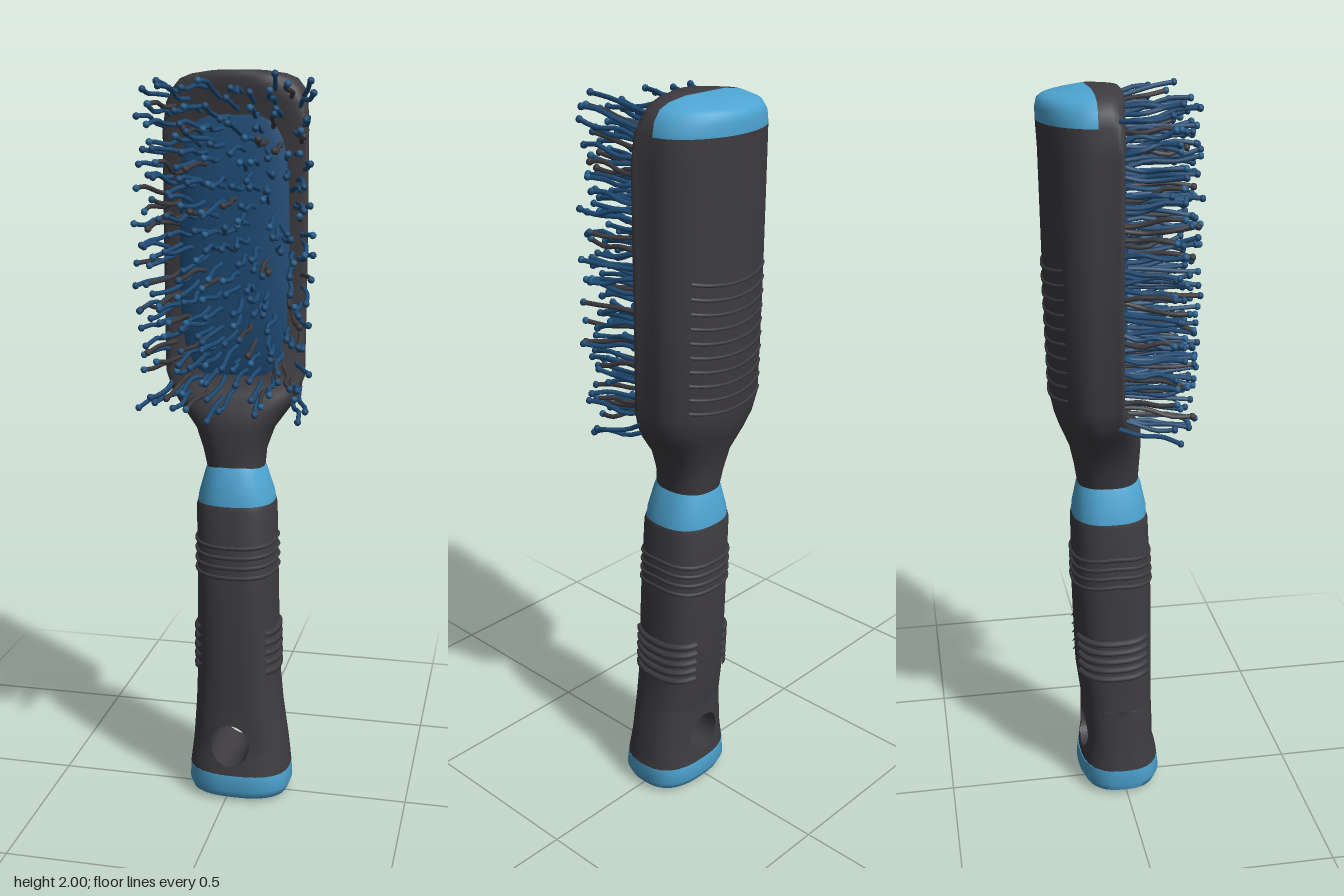
import * as THREE from 'three';
import { mergeGeometries, toCreasedNormals } from 'three/addons/utils/BufferGeometryUtils.js';

const flat = (name, color) => Object.assign(new THREE.MeshStandardMaterial({ color }), { name });
const SIDES = 48;

// One point of a cross-section: [y, centreX, halfWidth, centreZ, frontDepth, backDepth, frontPower, backPower, flare, backDrop]
function sectionPoint([y, cx, w, cz, f, b, nf, nb, flare = 0, drop = 0], a) {
  const c = Math.cos(a), s = Math.abs(Math.sin(a)) < 1e-9 ? 0 : Math.sin(a);
  const e = 2 / (s >= 0 ? nf : nb);
  const x = Math.sign(c) * Math.abs(c) ** e * w * (1 + flare * Math.max(0, s));
  const z = Math.sign(s) * Math.abs(s) ** e * (s >= 0 ? f : b);
  return new THREE.Vector3(cx + x, y + drop * Math.min(0, s), cz + z);
}

function makeGeometry(points, index, crease = 0.75) {
  const g = new THREE.BufferGeometry().setFromPoints(points);
  g.setIndex(index);
  return toCreasedNormals(g, crease);
}

// Closed loft through sections; accent(row, angle) sends faces to the second material
function loft(sections, accent = () => false) {
  const pts = [], lists = [[], []], rows = sections.length;
  for (const s of sections) for (let j = 0; j < SIDES; j++) pts.push(sectionPoint(s, (j / SIDES) * Math.PI * 2));
  const centre = (s) => pts.push(new THREE.Vector3(s[1], s[0], s[3])) - 1;
  const low = centre(sections[0]), high = centre(sections[rows - 1]);
  for (let j = 0; j < SIDES; j++) {
    const k = (j + 1) % SIDES, mid = ((j + 0.5) / SIDES) * Math.PI * 2;
    for (let i = 0; i < rows - 1; i++) {
      const a = i * SIDES + j, c = i * SIDES + k;
      lists[+accent(i, mid)].push(a, a + SIDES, c, c, a + SIDES, c + SIDES);
    }
    const top = (rows - 1) * SIDES;
    lists[0].push(low, j, k);
    lists[+accent(rows - 1, mid)].push(high, top + k, top + j);
  }
  const g = new THREE.BufferGeometry().setFromPoints(pts);
  g.setIndex([...lists[0], ...lists[1]]);
  g.addGroup(0, lists[0].length, 0);
  g.addGroup(lists[0].length, lists[1].length, 1);
  return toCreasedNormals(g, 0.75);
}

// Handle sections from the end cap to the collar
const HANDLE = [
  [0.08, 0.025, 0.143, -0.007, 0.112, 0.114, 2.6, 2.6],
  [0.15, 0.025, 0.135, -0.01, 0.102, 0.102, 2.6, 2.6],
  [0.27, 0.02, 0.122, -0.013, 0.1, 0.1, 2.6, 2.6],
  [0.38, 0.015, 0.114, -0.021, 0.107, 0.107, 2.6, 2.6],
  [0.6, 0.012, 0.111, -0.026, 0.11, 0.11, 2.6, 2.6],
  [0.86, 0.006, 0.109, -0.034, 0.105, 0.105, 2.6, 2.6],
];
function handleAt(y) {
  let i = 0;
  while (i < HANDLE.length - 2 && y > HANDLE[i + 1][0]) i++;
  const a = HANDLE[i], b = HANDLE[i + 1], t = (y - a[0]) / (b[0] - a[0]);
  return a.map((v, k) => v + (b[k] - v) * t);
}

// Lower grip: front and back skins spread from the hanging hole to the outline
function gripWithHole(y0, y1, hx, hy, rx, ry) {
  const rim = [], N = 14, M = 8, R = 12;
  for (let k = 0; k < N; k++) rim.push([-Math.cos((k / N) * Math.PI), y0]);
  for (let k = 0; k < M; k++) rim.push([1, y0 + ((y1 - y0) * k) / M]);
  for (let k = 0; k < N; k++) rim.push([Math.cos((k / N) * Math.PI), y1]);
  for (let k = 0; k < M; k++) rim.push([-1, y1 + ((y0 - y1) * k) / M]);
  const n = rim.length, pts = [], idx = [], half = n * (R + 1);
  for (const side of [1, -1]) for (let r = 0; r <= R; r++) for (const [s, y] of rim) {
    const t = 1 - (1 - r / R) ** 2, edge = handleAt(y);
    const ox = edge[1] + s * edge[2], ang = Math.atan2((y - hy) / ry, (ox - hx) / rx);
    const py = (hy + ry * Math.sin(ang)) * (1 - t) + y * t;
    const px = (hx + rx * Math.cos(ang)) * (1 - t) + ox * t;
    const h = handleAt(py), u = Math.min(1, Math.abs(px - h[1]) / h[2]);
    const bulge = r === R && Math.abs(s) === 1 ? 0 : Math.max(0, 1 - u ** h[6]) ** (1 / h[6]);
    pts.push(new THREE.Vector3(px, py, h[3] + side * h[4] * bulge));
  }
  for (let j = 0; j < n; j++) {
    const k = (j + 1) % n;
    for (let r = 0; r < R; r++) {
      const a = r * n + j, b = a + n, c = r * n + k, d = c + n;
      idx.push(a, b, d, a, d, c);
      idx.push(a + half, d + half, b + half, a + half, c + half, d + half);
    }
    idx.push(half + j, j, half + k, half + k, j, k);
  }
  return makeGeometry(pts, idx);
}

// Raised rib following a section between two angles
function rib(section, a0, a1, radius, sag = 0) {
  const pts = [];
  for (let i = 0; i <= 20; i++) {
    const p = sectionPoint(section, a0 + ((a1 - a0) * i) / 20);
    p.y -= sag * Math.sin((i / 20) * Math.PI);
    pts.push(p);
  }
  return new THREE.TubeGeometry(new THREE.CatmullRomCurve3(pts), 28, radius, 6);
}

export function createModel() {
  const charcoal = flat('charcoal', 0x3e3c40), sky = flat('skyBlue', 0x4ea6d4);
  const navy = flat('deepBlue', 0x1f4d78), tipBlue = flat('tipBlue', 0x26628f);
  const model = new THREE.Group();
  const add = (name, geometry, material) => {
    const mesh = new THREE.Mesh(geometry, material);
    mesh.name = name;
    model.add(mesh);
  };

  // Handle
  add('endCap', loft([
    [0.0, 0.025, 0.112, -0.007, 0.085, 0.085, 2.6, 2.6],
    [0.012, 0.025, 0.136, -0.007, 0.106, 0.106, 2.6, 2.6],
    [0.035, 0.026, 0.145, -0.007, 0.117, 0.118, 2.6, 2.6],
    HANDLE[0],
  ]), [sky, sky]);
  add('lowerGrip', gripWithHole(0.08, 0.27, 0.012, 0.165, 0.055, 0.06), charcoal);
  add('grip', loft([...HANDLE.slice(2, -1), handleAt(0.845), [0.858, 0.006, 0.106, -0.034, 0.102, 0.102, 2.6, 2.6]]), [charcoal, charcoal]);
  add('collar', loft([
    [0.858, 0.006, 0.106, -0.034, 0.102, 0.102, 2.4, 2.4],
    [0.88, 0.006, 0.103, -0.034, 0.101, 0.101, 2.4, 2.4],
    [0.945, 0.004, 0.083, -0.035, 0.088, 0.088, 2.4, 2.4],
    [0.962, 0.004, 0.075, -0.035, 0.081, 0.081, 2.4, 2.4],
  ]), [sky, sky]);

  // Grip ribs: full rings above, side ribs below
  const ribs = [];
  for (let i = 0; i < 4; i++) {
    ribs.push(rib(handleAt(0.67 + i * 0.028), 0, Math.PI, 0.006, 0.01));
    ribs.push(rib(handleAt(0.67 + i * 0.028), Math.PI, Math.PI * 2, 0.006, 0.01));
  }
  for (let i = 0; i < 5; i++) {
    const s = handleAt(0.385 + i * 0.028);
    ribs.push(rib(s, -1.2, 0.75, 0.01, 0.006), rib(s, Math.PI - 0.75, Math.PI + 1.2, 0.01, 0.006));
  }
  add('gripRibs', mergeGeometries(ribs), charcoal);

  // Head with neck; the rear of the top is the sky blue cap
  const head = [
    [0.95, 0.004, 0.078, -0.035, 0.08, 0.085, 2.4, 2.4],
    [1.0, 0.0, 0.086, -0.04, 0.087, 0.088, 2.4, 2.3],
    [1.06, 0.0, 0.107, -0.048, 0.098, 0.093, 2.5, 2.2],
    [1.12, 0.0, 0.15, -0.06, 0.105, 0.107, 2.8, 2.1, 0.04],
    [1.16, 0.0, 0.173, -0.075, 0.088, 0.106, 3.8, 2, 0.11],
    [1.21, 0.0, 0.182, -0.085, 0.068, 0.107, 7, 2, 0.2],
    [1.5, 0.0, 0.184, -0.085, 0.066, 0.117, 7, 2, 0.2],
    [1.85, 0.0, 0.184, -0.085, 0.068, 0.124, 7, 2, 0.2],
    [1.92, 0.0, 0.181, -0.085, 0.074, 0.128, 5, 2, 0.15],
    [1.955, 0.0, 0.174, -0.085, 0.082, 0.129, 3, 2, 0.08, 0.005],
    [1.98, 0.0, 0.155, -0.085, 0.085, 0.125, 2.6, 2, 0.04, 0.01],
    [1.992, 0.0, 0.125, -0.085, 0.083, 0.117, 2.4, 2, 0.02, 0.014],
    [2.0, 0.0, 0.07, -0.085, 0.076, 0.1, 2.2, 2, 0, 0.015],
  ];
  add('head', loft(head, (row, a) => row >= 8 && a > Math.PI), [charcoal, sky]);

  // Curved ribs across the back of the head
  const backRibs = [];
  for (let i = 0; i < 10; i++) {
    const y = 1.23 + i * 0.038, b = 0.106 + ((y - 1.21) / 0.29) * 0.01;
    backRibs.push(rib([y, 0, 0.183, -0.085, 0.066, b, 5, 2], Math.PI * 1.24, Math.PI * 1.76, 0.005, 0.015));
  }
  add('backRibs', mergeGeometries(backRibs), charcoal);

  // Domed cushion with a rounded-rectangle outline
  const dome = new THREE.SphereGeometry(1, 40, 24), pos = dome.attributes.position;
  for (let i = 0; i < pos.count; i++) {
    const x = pos.getX(i), y = pos.getY(i);
    const k = Math.hypot(x, y) / Math.max(1e-6, (x ** 4 + y ** 4) ** 0.25);
    pos.setXYZ(i, x * k * 0.158, 1.55 + y * k * 0.385, -0.035 + pos.getZ(i) * 0.045);
  }
  dome.computeVertexNormals();
  add('cushion', dome, navy);

  // Crooked bristles fan outward; the darker ones crowd the edges
  let seed = 7;
  const rnd = () => (seed = (seed * 16807) % 2147483647) / 2147483647;
  const jitter = (r) => (rnd() * 2 - 1) * r;
  const dark = [], blue = [], bright = [];
  const ROWS = 21, COLS = 10;
  for (let r = 0; r < ROWS; r++) for (let c = 0; c < COLS; c++) {
    const u = THREE.MathUtils.clamp((c / (COLS - 1)) * 2 - 1 + jitter(0.1), -1, 1);
    const v = (r / (ROWS - 1)) * 2 - 1;
    const y = 1.55 + v * 0.385 + (c % 2 ? 0.009 : -0.009) + jitter(0.01);
    const base = new THREE.Vector3(u * 0.178, y, -0.01 - 0.025 * u * u);
    const tip = new THREE.Vector3(u * 0.222 + jitter(0.018), y + v * 0.018 + jitter(0.022), 0.18 - 0.075 * u * u + jitter(0.022));
    const bend = (t) => base.clone().lerp(tip, t).add(new THREE.Vector3(jitter(0.009), jitter(0.012), 0));
    const curve = new THREE.CatmullRomCurve3([base, bend(0.35), bend(0.7), tip]);
    const isDark = rnd() < 0.1 + 0.35 * u * u;
    const shaft = isDark ? dark : blue;
    shaft.push(new THREE.TubeGeometry(curve, 7, 0.0064, 5));
    const ball = new THREE.SphereGeometry(0.0095, 7, 5).translate(tip.x, tip.y, tip.z);
    (rnd() < 0.3 ? bright : isDark && rnd() < 0.5 ? dark : blue).push(ball);
  }
  add('darkBristles', mergeGeometries(dark), charcoal);
  add('blueBristles', mergeGeometries(blue), navy);
  add('brightTips', mergeGeometries(bright), tipBlue);
  return model;
}
